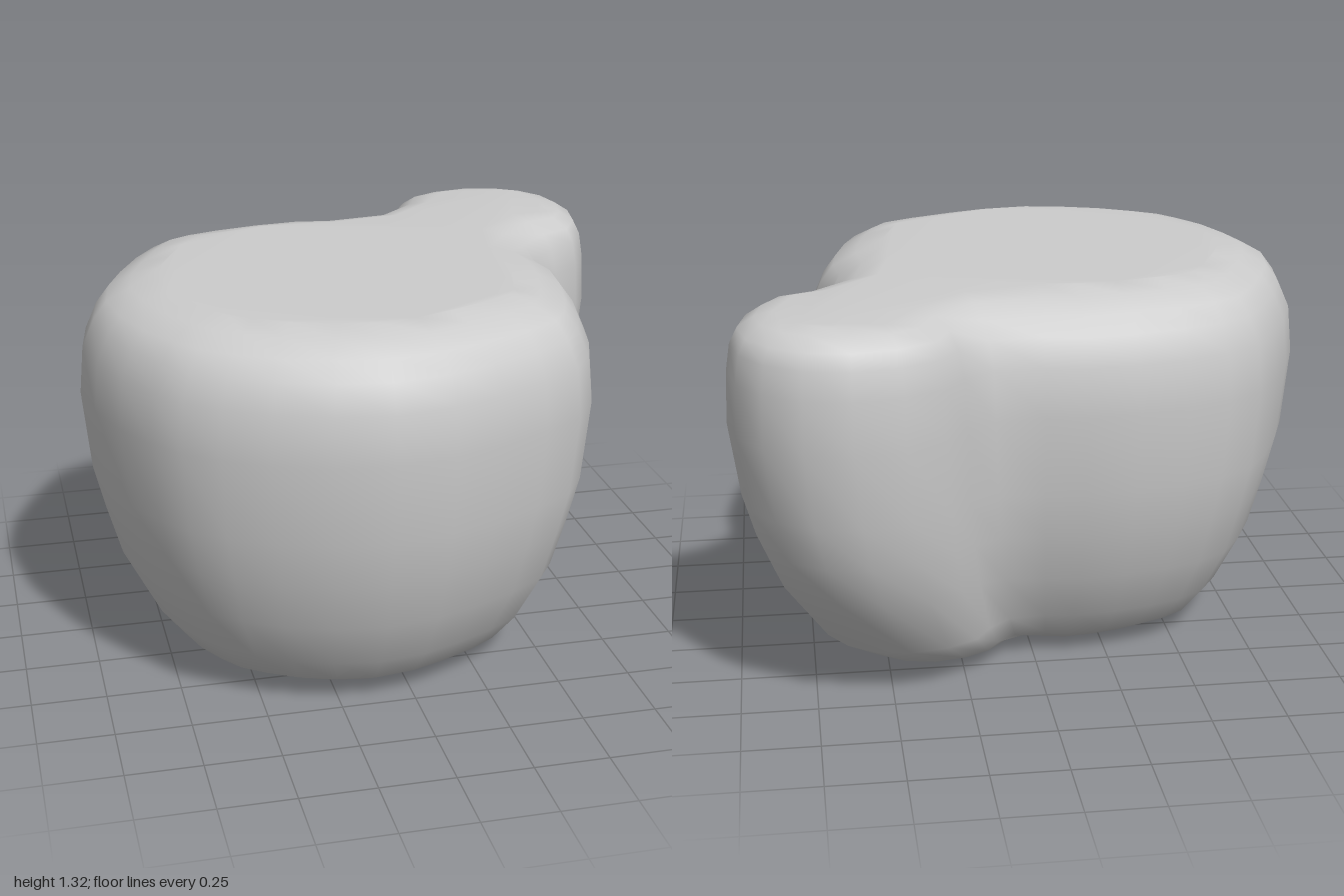
import * as THREE from 'three';

// Half of the widest outline as [x, z], from the lobe tip round to the opposite end
const half = [
  [0.89, -0.89], [0.97, -0.77], [1.0, -0.62], [0.97, -0.46], [0.9, -0.33], [0.8, -0.26],
  [0.72, -0.16], [0.71, 0], [0.73, 0.13], [0.71, 0.31], [0.67, 0.48], [0.62, 0.62],
  [0.54, 0.74], [0.4, 0.83], [0.23, 0.91], [0.07, 0.97], [-0.13, 1.0], [-0.32, 0.97],
  [-0.5, 0.91], [-0.64, 0.83], [-0.75, 0.75],
];

// Levels: body height, lobe height, body scale, lobe scale, body inset, lobe inset
const levels = [
  [0.015, 0.04, 0.25, 0.25, 0, 0],
  [0.0, 0.035, 0.52, 0.5, 0, 0],
  [0.08, 0.07, 0.68, 0.645, 0, 0],
  [0.18, 0.17, 0.77, 0.76, 0, 0],
  [0.35, 0.4, 0.87, 0.885, 0, 0],
  [0.52, 0.55, 0.925, 0.935, 0, 0],
  [0.68, 0.7, 0.97, 0.97, 0, 0],
  [0.95, 0.95, 1, 1, 0, 0],
  [1.11, 1.12, 1, 1, 0.015, 0.006],
  [1.2, 1.21, 1, 1, 0.055, 0.02],
  [1.26, 1.26, 1, 1, 0.1, 0.045],
  [1.3, 1.295, 1, 1, 0.18, 0.1],
  [1.32, 1.31, 1, 1, 0.27, 0.16],
];

const CX = -0.13, CZ = 0.13; // middle of the main body

function blobGeometry() {
  // Mirror the half outline across the diagonal x = -z
  const mirrored = half.slice(1, -1).reverse().map(([x, z]) => [-z, -x]);
  const outline = [...half, ...mirrored];
  const n = outline.length;
  const pos = [], index = [];

  for (const [yB, yL, sB, sL, iB, iL] of levels) {
    outline.forEach(([x, z], i) => {
      const [ax, az] = outline[(i + n - 1) % n], [bx, bz] = outline[(i + 1) % n];
      const len = Math.hypot(bx - ax, bz - az);
      const lobe = THREE.MathUtils.smoothstep((x - z) / Math.SQRT2, 0.45, 0.95);
      const mix = (a, b) => THREE.MathUtils.lerp(a, b, lobe);
      const s = mix(sB, sL), inset = mix(iB, iL);
      pos.push(
        CX + (x - CX) * s - ((bz - az) / len) * inset,
        mix(yB, yL),
        CZ + (z - CZ) * s + ((bx - ax) / len) * inset,
      );
    });
  }

  // Walls between neighbouring levels
  for (let j = 0; j < levels.length - 1; j++) {
    for (let i = 0; i < n; i++) {
      const a = j * n + i, b = j * n + (i + 1) % n;
      index.push(a, a + n, b + n, a, b + n, b);
    }
  }

  // Underside fan
  const centre = pos.length / 3;
  pos.push(CX, 0.01, CZ);
  for (let i = 0; i < n; i++) index.push(centre, i, (i + 1) % n);

  // Flat top
  const first = (levels.length - 1) * n;
  const rim = outline.map((_, i) =>
    new THREE.Vector2(pos[(first + i) * 3], pos[(first + i) * 3 + 2]));
  for (const [a, b, c] of THREE.ShapeUtils.triangulateShape(rim, [])) {
    index.push(first + a, first + c, first + b);
  }

  const geo = new THREE.BufferGeometry();
  geo.setAttribute('position', new THREE.Float32BufferAttribute(pos, 3));
  geo.setIndex(index);
  geo.computeVertexNormals();
  return geo;
}

export function createModel() {
  const grey = new THREE.MeshStandardMaterial({ color: 0xcccccc });
  grey.name = 'light grey';

  const group = new THREE.Group();
  group.name = 'lobedBlob';
  const body = new THREE.Mesh(blobGeometry(), grey);
  body.name = 'body';
  group.add(body);
  return group;
}
